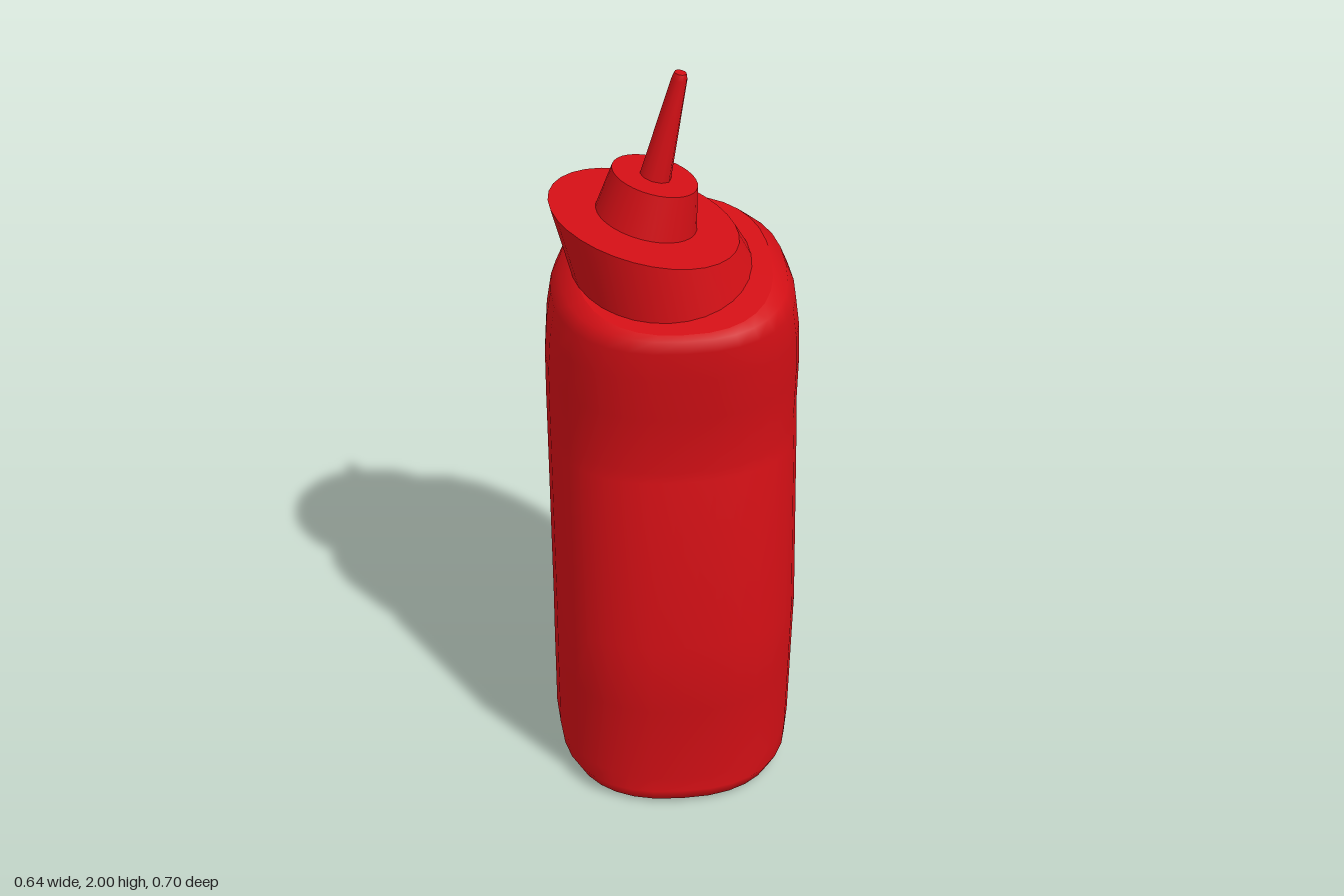
import * as THREE from 'three';

const red = new THREE.MeshStandardMaterial({ color: 0xd20f15 });

// Squashed circle: power 2 is an ellipse, higher is squarer
const bend = (t, power) => Math.sign(t) * Math.abs(t) ** (2 / power);

// Skin over tilted rings. Each ring: c = centre, u = half axis to +x, v = half axis to +z
function loft(name, rings, sides, power = 2) {
  const pos = [], index = [];
  const addRing = ({ c, u, v }) => {
    for (let j = 0; j < sides; j++) {
      const a = (j / sides) * Math.PI * 2;
      const s = bend(Math.cos(a), power), t = bend(Math.sin(a), power);
      for (let k = 0; k < 3; k++) pos.push(c[k] + u[k] * s + v[k] * t);
    }
  };
  rings.forEach(addRing);
  for (let i = 0; i < rings.length - 1; i++) {
    for (let j = 0; j < sides; j++) {
      const n = (j + 1) % sides, a = i * sides, b = a + sides;
      index.push(a + j, b + j, a + n, a + n, b + j, b + n);
    }
  }
  // End discs have their own corners so that the rims stay sharp
  [rings[0], rings[rings.length - 1]].forEach((ring, top) => {
    const start = pos.length / 3;
    addRing(ring);
    pos.push(...ring.c);
    for (let j = 0; j < sides; j++) {
      const p = start + j, n = start + (j + 1) % sides;
      index.push(start + sides, ...(top ? [n, p] : [p, n]));
    }
  });
  const geo = new THREE.BufferGeometry();
  geo.setAttribute('position', new THREE.Float32BufferAttribute(pos, 3));
  geo.setIndex(index);
  geo.computeVertexNormals();
  const mesh = new THREE.Mesh(geo, red);
  mesh.name = name;
  return mesh;
}

// Ring leaning front to back, from its front and back points and half width
const bodyRing = ([zf, yf, zb, yb, w]) => ({
  c: [0, (yf + yb) / 2, (zf + zb) / 2],
  u: [w, 0, 0],
  v: [0, (yf - yb) / 2, (zf - zb) / 2],
});

// Ring leaning left to right, from its two side points and half depth
const sideRing = (x0, y0, x1, y1, z, depth) => ({
  c: [(x0 + x1) / 2, (y0 + y1) / 2, z],
  u: [(x1 - x0) / 2, (y1 - y0) / 2, 0],
  v: [0, 0, depth],
});

export function createModel() {
  const group = new THREE.Group();
  group.name = 'squeezeBottle';

  // Wavy body: front z, front y, back z, back y, half width
  const body = [
    [0.25, 0, -0.25, 0, 0.26],
    [0.305, 0.012, -0.275, 0.01, 0.285],
    [0.32, 0.05, -0.3, 0.045, 0.307],
    [0.3, 0.077, -0.332, 0.15, 0.317],
    [0.328, 0.33, -0.3, 0.415, 0.318],
    [0.352, 0.56, -0.278, 0.48, 0.318],
    [0.3, 1.035, -0.337, 1.0, 0.318],
    [0.277, 1.05, -0.348, 1.165, 0.318],
    [0.3, 1.22, -0.332, 1.26, 0.318],
    [0.315, 1.34, -0.31, 1.36, 0.312],
    [0.322, 1.42, -0.285, 1.45, 0.3],
    [0.318, 1.452, -0.258, 1.52, 0.278],
    [0.3, 1.46, -0.22, 1.558, 0.24],
  ];
  group.add(loft('body', body.map(bodyRing), 32, 2.4));

  // Cap: seated on the sloping shoulder, its top leaning to one side
  group.add(loft('cap', [
    { c: [-0.025, 1.5, 0.022], u: [0.225, 0, 0], v: [0, -0.043, 0.235] },
    sideRing(-0.3, 1.68, 0.163, 1.565, 0.01, 0.245),
  ], 32));

  // Collar and thin spout
  group.add(loft('collar', [
    sideRing(-0.188, 1.645, 0.06, 1.583, 0.005, 0.127),
    sideRing(-0.145, 1.757, 0.062, 1.705, 0.005, 0.106),
  ], 32));
  group.add(loft('spout', [
    sideRing(-0.08, 1.732, -0.004, 1.712, 0.005, 0.038),
    sideRing(-0.002, 1.985, 0.036, 1.98, 0.005, 0.021),
    sideRing(0.005, 2, 0.034, 1.995, 0.005, 0.016),
  ], 10));

  return group;
}
